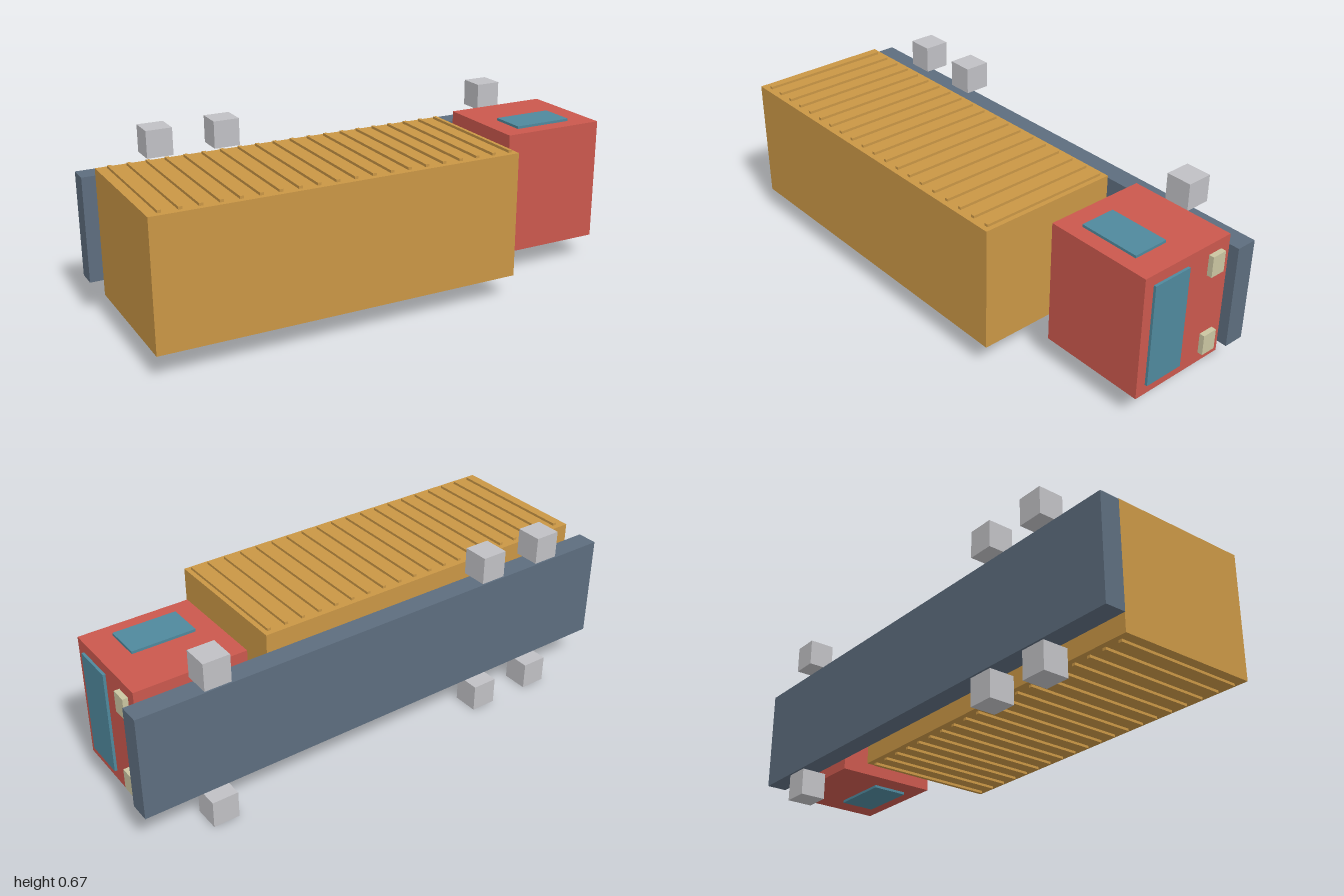
import * as THREE from 'three';

const material = (name, color) => {
  const m = new THREE.MeshStandardMaterial({ color });
  m.name = name;
  return m;
};

export function createModel() {
  const ochre = material('ochre', 0xc99645);
  const red = material('red', 0xca584d);
  const glass = material('glass blue', 0x4f889c);
  const slate = material('slate', 0x5d6d7e);
  const grey = material('light grey', 0xc0c0c4);
  const cream = material('cream', 0xcac5a1);

  const model = new THREE.Group();
  model.name = 'truck';
  const midY = 0.333;

  // Box given by its limits along each axis
  const box = (name, mat, [x0, x1], [y0, y1], [z0, z1]) => {
    const mesh = new THREE.Mesh(new THREE.BoxGeometry(x1 - x0, y1 - y0, z1 - z0), mat);
    mesh.position.set((x0 + x1) / 2, (y0 + y1) / 2, (z0 + z1) / 2);
    mesh.name = name;
    model.add(mesh);
  };
  // Pair of boxes mirrored about the truck's centre plane; a, b are offsets from it
  const pair = (name, mat, x, [a, b], z) => {
    box(name + 'Upper', mat, x, [midY + a, midY + b], z);
    box(name + 'Lower', mat, x, [midY - b, midY - a], z);
  };

  // Chassis, cargo box and cab
  box('chassis', slate, [-1, 1], [0.133, 0.533], [-0.325, -0.245]);
  box('cargoBox', ochre, [-0.96, 0.44], [0.093, 0.573], [-0.205, 0.355]);
  box('cab', red, [0.54, 0.96], [0.093, 0.573], [-0.245, 0.155]);

  // Ribs along both cargo sides
  for (let i = 0; i < 20; i++) {
    const x = -0.915 + i * 0.07;
    pair('cargoRib', ochre, [x - 0.007, x + 0.007], [0.24, 0.25], [-0.185, 0.335]);
  }

  // Windows and headlights
  box('windscreen', glass, [0.96, 0.97], [0.133, 0.533], [-0.045, 0.115]);
  pair('sideWindow', glass, [0.62, 0.86], [0.24, 0.25], [-0.045, 0.095]);
  pair('headlight', cream, [0.96, 0.98], [0.12, 0.2], [-0.205, -0.145]);

  // Square wheels on three axles
  for (const x of [-0.704, -0.444, 0.716]) {
    pair('wheel', grey, [x - 0.05, x + 0.05], [0.229, 0.333], [-0.355, -0.255]);
  }
  return model;
}
